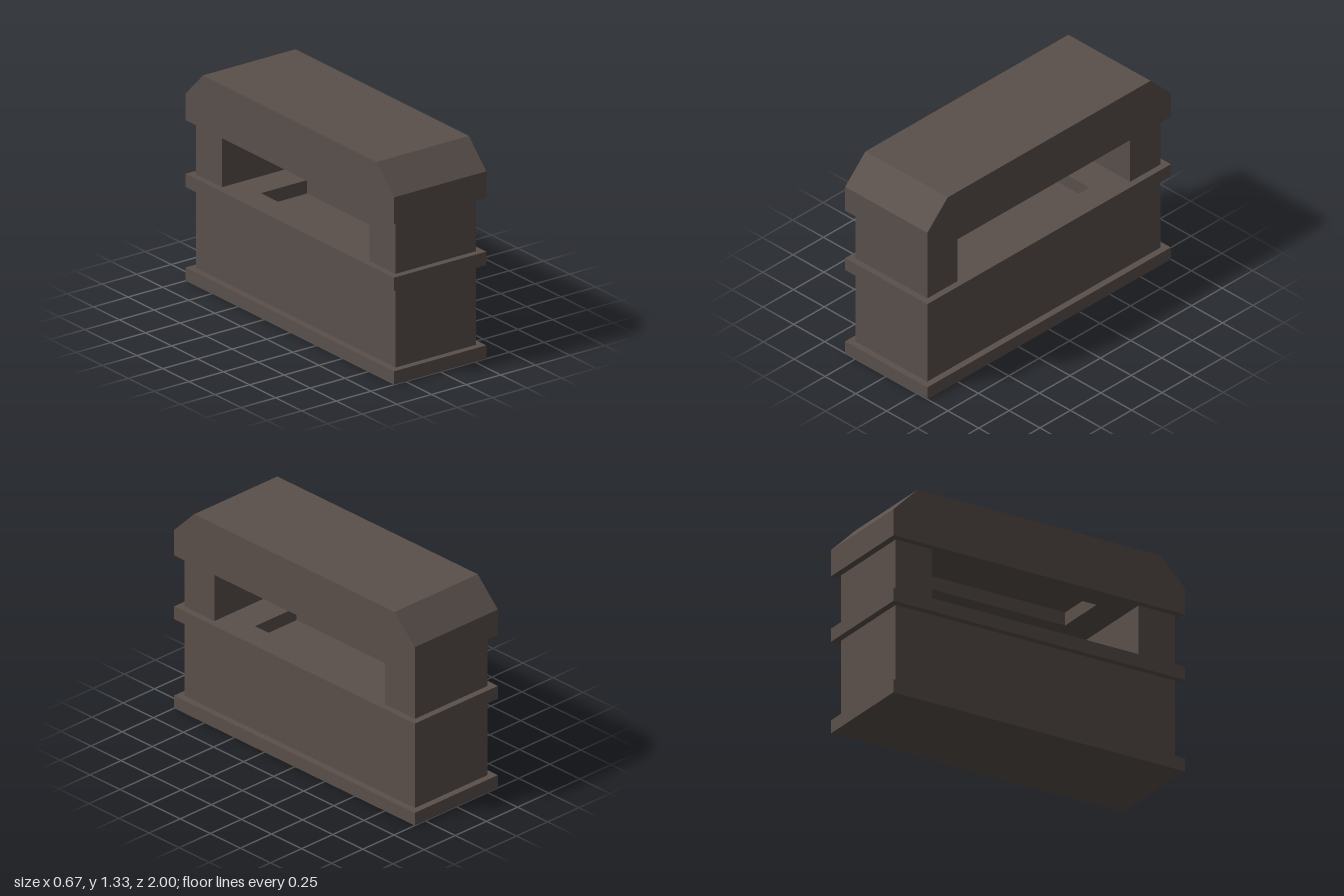
import * as THREE from 'three';

const U = 1 / 24; // module unit

export function createModel() {
  const group = new THREE.Group();
  const stone = new THREE.MeshStandardMaterial({ color: 0x5a504b });
  stone.name = 'darkStone';

  const add = (name, geometry) => {
    const mesh = new THREE.Mesh(geometry, stone);
    mesh.name = name;
    group.add(mesh);
  };

  // Box given by width, bottom, top and z range, all in units
  const block = (name, w, y0, y1, z0, z1) => {
    const g = new THREE.BoxGeometry(w * U, (y1 - y0) * U, (z1 - z0) * U);
    g.translate(0, (y0 + y1) / 2 * U, (z0 + z1) / 2 * U);
    add(name, g);
  };

  const rect = (target, hx, hz) => {
    target.moveTo(-hx * U, -hz * U);
    target.lineTo(hx * U, -hz * U);
    target.lineTo(hx * U, hz * U);
    target.lineTo(-hx * U, hz * U);
    target.closePath();
    return target;
  };

  // Slab with a rectangular opening
  const openSlab = (name, y0, y1) => {
    const shape = rect(new THREE.Shape(), 8, 24);
    shape.holes.push(rect(new THREE.Path(), 4, 12));
    const g = new THREE.ExtrudeGeometry(shape, { depth: (y1 - y0) * U, bevelEnabled: false });
    g.rotateX(-Math.PI / 2);
    g.translate(0, y0 * U, 0);
    add(name, g);
  };

  // Plinth, body and counter with a shallow basin
  block('plinth', 16, 0, 2, -24, 24);
  block('body', 14, 2, 14, -23, 23);
  openSlab('counter', 14, 16);

  // End pillars
  block('frontPillar', 14, 16, 24, 17, 23);
  block('backPillar', 14, 16, 24, -23, -17);

  // Roof: recessed underside, then the block with chamfered ends
  openSlab('roofUnderside', 24, 26);
  const profile = new THREE.Shape(
    [[-24, 26], [24, 26], [24, 28], [20, 32], [-20, 32], [-24, 28]]
      .map(([z, y]) => new THREE.Vector2(z * U, y * U)));
  const roof = new THREE.ExtrudeGeometry(profile, { depth: 16 * U, bevelEnabled: false });
  roof.translate(0, 0, -8 * U);
  roof.rotateY(Math.PI / 2);
  add('roof', roof);

  return group;
}
